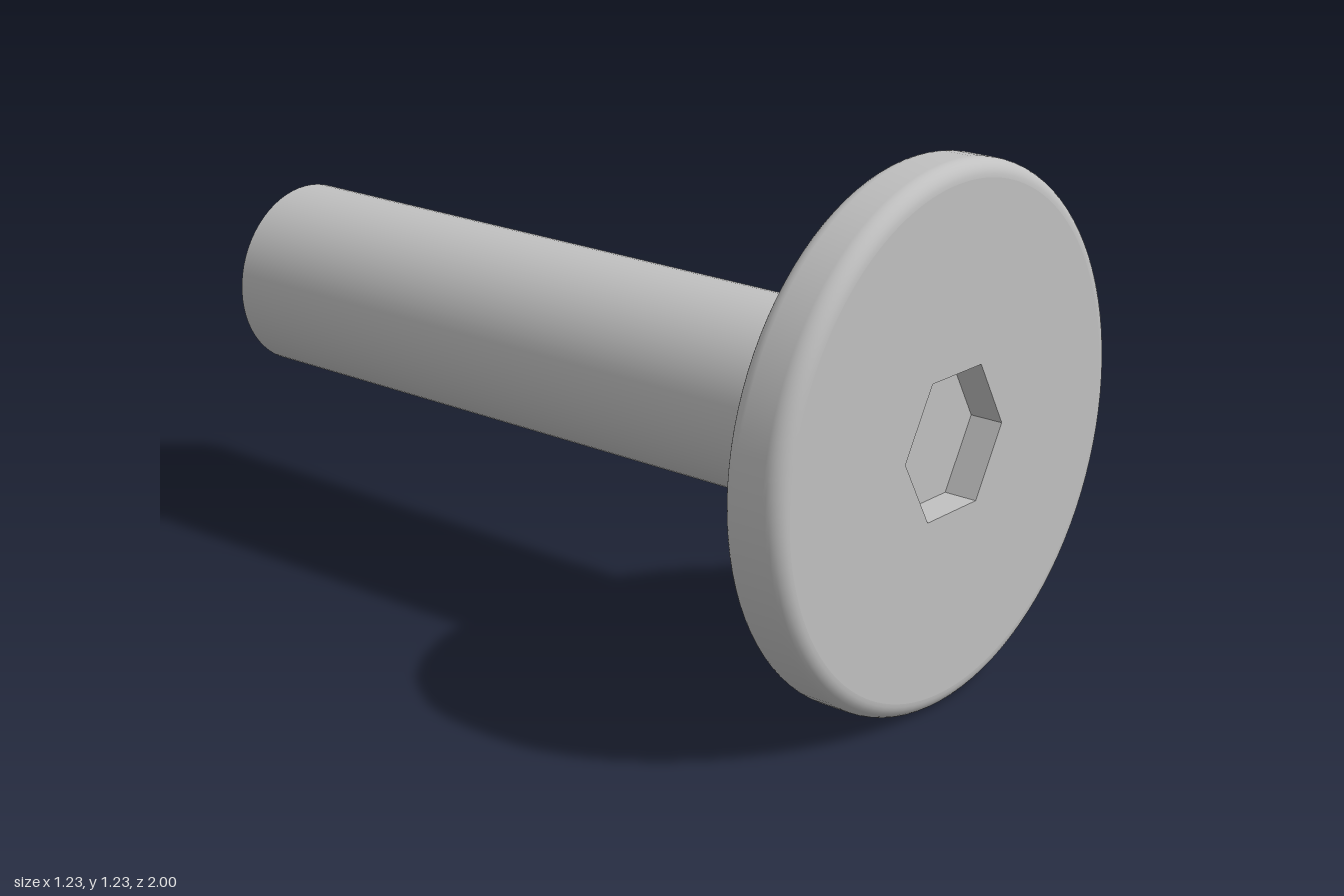
import * as THREE from 'three';

const HEAD_R = 0.615, SHAFT_R = 0.228, FILLET = 0.04;
const FRONT = 1, HEAD_BACK = 0.85, BACK = -1;
const HEX_R = 0.18, HEX_DEPTH = 0.08, SIDES = 96;

export function createModel() {
  const steel = new THREE.MeshStandardMaterial({ color: 0xc0c0c0 });
  steel.name = 'steel';

  const bolt = new THREE.Group();
  bolt.name = 'bolt';
  bolt.position.y = HEAD_R;

  const add = (name, geometry) => {
    const mesh = new THREE.Mesh(geometry, steel);
    mesh.name = name;
    bolt.add(mesh);
    return mesh;
  };

  // Head rim: straight band with a quarter-round fillet on both edges
  const profile = [];
  const fillet = (z, from) => {
    for (let i = 0; i <= 8; i++) {
      const a = from + (i / 8) * Math.PI / 2;
      profile.push(new THREE.Vector2(HEAD_R - FILLET + FILLET * Math.cos(a), z + FILLET * Math.sin(a)));
    }
  };
  fillet(HEAD_BACK + FILLET, -Math.PI / 2);
  fillet(FRONT - FILLET, 0);
  add('headRim', new THREE.LatheGeometry(profile, SIDES).rotateX(Math.PI / 2));

  // Flat front face with the hexagonal opening
  const face = new THREE.Shape().absarc(0, 0, HEAD_R - FILLET, 0, Math.PI * 2);
  const hexPoints = [];
  for (let i = 0; i < 6; i++) {
    const a = -i * Math.PI / 3;
    hexPoints.push(new THREE.Vector2(HEX_R * Math.cos(a), HEX_R * Math.sin(a)));
  }
  face.holes.push(new THREE.Path(hexPoints));
  add('headFront', new THREE.ShapeGeometry(face, SIDES)).position.z = FRONT;

  // Flat back face around the shaft
  const back = new THREE.RingGeometry(SHAFT_R - 0.01, HEAD_R - FILLET, SIDES).rotateY(Math.PI);
  add('headBack', back).position.z = HEAD_BACK;

  // Hexagonal socket: inward-facing walls and floor
  const cup = [
    new THREE.Vector2(HEX_R, FRONT),
    new THREE.Vector2(HEX_R, FRONT - HEX_DEPTH),
    new THREE.Vector2(0, FRONT - HEX_DEPTH),
  ];
  const socket = new THREE.LatheGeometry(cup, 6, Math.PI / 2).rotateX(Math.PI / 2).toNonIndexed();
  socket.computeVertexNormals();
  add('hexSocket', socket);

  // Plain round shaft, its front end seated just inside the head
  const top = HEAD_BACK + 0.01;
  const shaft = new THREE.CylinderGeometry(SHAFT_R, SHAFT_R, top - BACK, 64).rotateX(Math.PI / 2);
  add('shaft', shaft).position.z = (top + BACK) / 2;

  const model = new THREE.Group();
  model.name = 'hexSocketBolt';
  model.add(bolt);
  return model;
}
